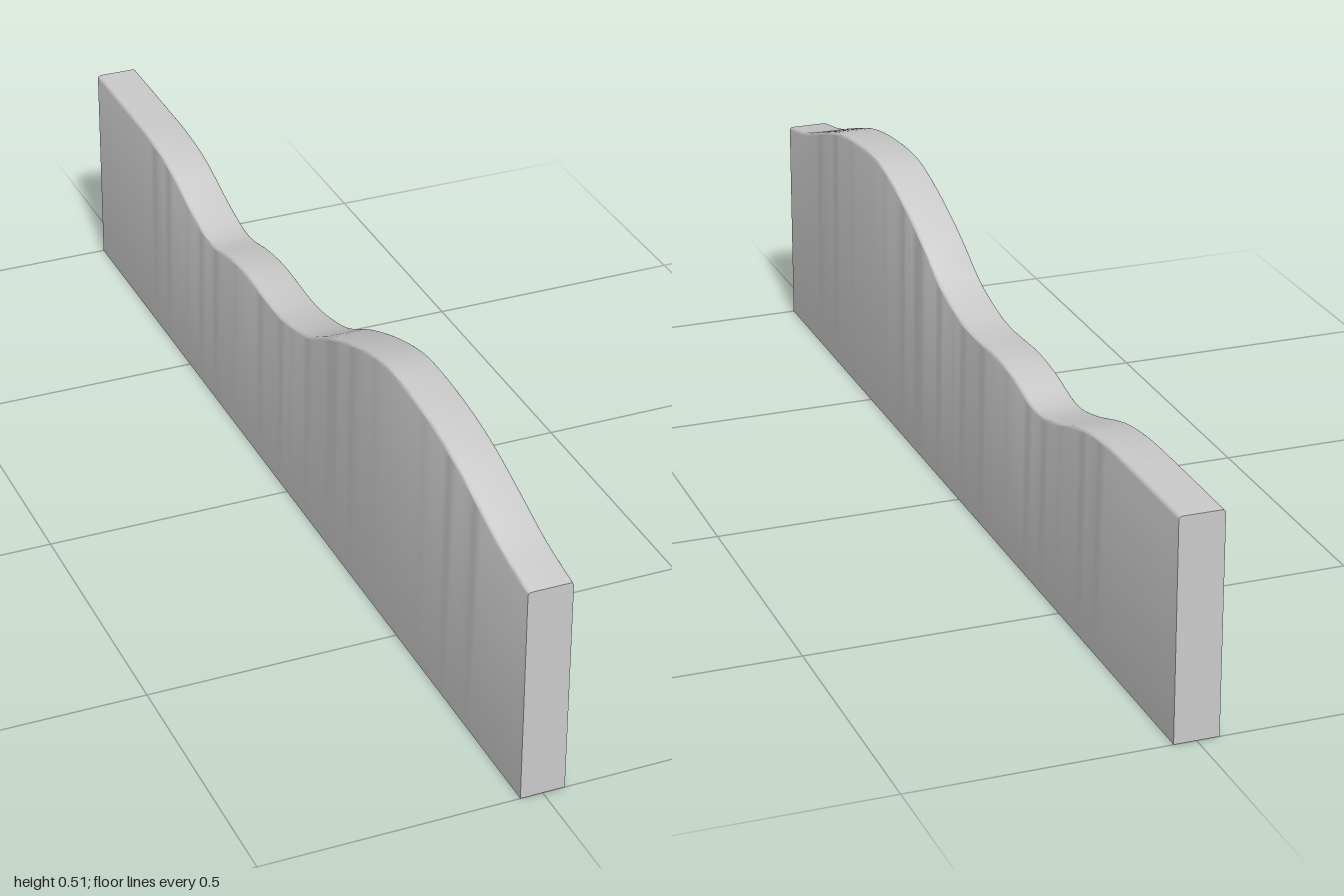
import * as THREE from 'three';
import { toCreasedNormals } from 'three/addons/utils/BufferGeometryUtils.js';

// Height of the wavy top edge: [z, y] from back to front
const crest = [
  [-1, 0.4], [-0.8, 0.4], [-0.7, 0.398], [-0.6, 0.385], [-0.47, 0.346], [-0.38, 0.331],
  [-0.28, 0.35], [-0.2, 0.358], [-0.07, 0.353], [0, 0.359], [0.1, 0.385], [0.2, 0.435],
  [0.3, 0.475], [0.4, 0.504], [0.47, 0.512], [0.6, 0.504], [0.7, 0.486], [0.8, 0.455],
  [0.9, 0.422], [1, 0.402],
];

// Smooth cubic through the crest points
function crestHeight(z) {
  const n = crest.length;
  let i = 0;
  while (i < n - 2 && z > crest[i + 1][0]) i++;
  const slope = (k) => {
    const a = crest[Math.max(k - 1, 0)], b = crest[Math.min(k + 1, n - 1)];
    return (b[1] - a[1]) / (b[0] - a[0]);
  };
  const [z0, y0] = crest[i], [z1, y1] = crest[i + 1];
  const d = z1 - z0, t = (z - z0) / d, t2 = t * t, t3 = t2 * t;
  return (2 * t3 - 3 * t2 + 1) * y0 + (t3 - 2 * t2 + t) * d * slope(i)
    + (3 * t2 - 2 * t3) * y1 + (t3 - t2) * d * slope(i + 1);
}

export function createModel() {
  const group = new THREE.Group();
  const half = 0.04, base = 0.4, r = 0.006;

  // Cross-section of the board, with softened top corners
  const section = new THREE.Shape();
  section.moveTo(-half, 0);
  section.lineTo(half, 0);
  section.lineTo(half, base - r);
  section.absarc(half - r, base - r, r, 0, Math.PI / 2, false);
  section.lineTo(-half + r, base);
  section.absarc(-half + r, base - r, r, Math.PI / 2, Math.PI, false);
  section.closePath();

  // Sweep along z, then lift the top to follow the crest
  const geometry = new THREE.ExtrudeGeometry(section, {
    depth: 2, steps: 80, curveSegments: 3, bevelEnabled: false,
  });
  geometry.translate(0, 0, -1);
  const p = geometry.attributes.position;
  for (let i = 0; i < p.count; i++) {
    if (p.getY(i) > base / 2) p.setY(i, p.getY(i) + crestHeight(p.getZ(i)) - base);
  }

  const board = new THREE.Mesh(
    toCreasedNormals(geometry, 0.6),
    new THREE.MeshStandardMaterial({ color: 0xcccccc }),
  );
  board.name = 'wavyBoard';
  group.add(board);
  return group;
}
